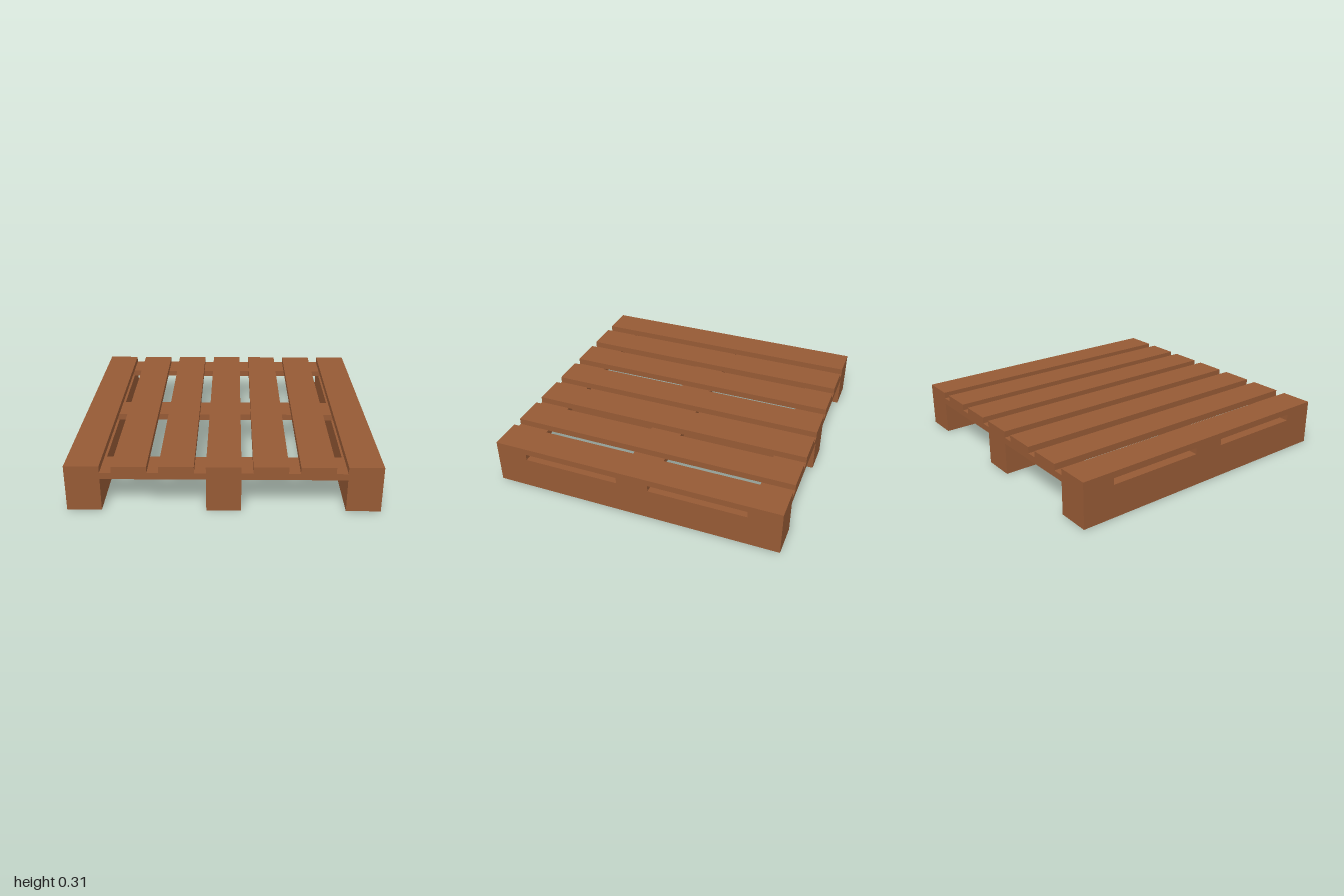
import * as THREE from 'three';

export function createModel() {
  const pallet = new THREE.Group();
  pallet.name = 'pallet';
  const wood = new THREE.MeshStandardMaterial({ color: 0x965a35 });
  wood.name = 'brown wood';

  const boardWidth = 0.222;
  const runnerTop = 0.224, crossTop = 0.268, deckTop = 0.312;
  const edge = 1 - boardWidth / 2;

  // A board spanning the given heights
  function board(name, width, depth, bottom, top, x, z) {
    const mesh = new THREE.Mesh(new THREE.BoxGeometry(width, top - bottom, depth), wood);
    mesh.name = name;
    mesh.position.set(x, (bottom + top) / 2, z);
    pallet.add(mesh);
  }

  // Three runners front to back, and three cross boards over them
  for (const side of [-1, 0, 1]) {
    board('runner', boardWidth, 2, 0, runnerTop, side * edge, 0);
    board('crossBoard', 2, boardWidth, runnerTop, crossTop, 0, side * edge);
  }

  // Seven evenly spaced deck slats
  for (let i = -3; i <= 3; i++) {
    board('deckSlat', boardWidth, 2, crossTop, deckTop, i * edge / 3, 0);
  }

  return pallet;
}
